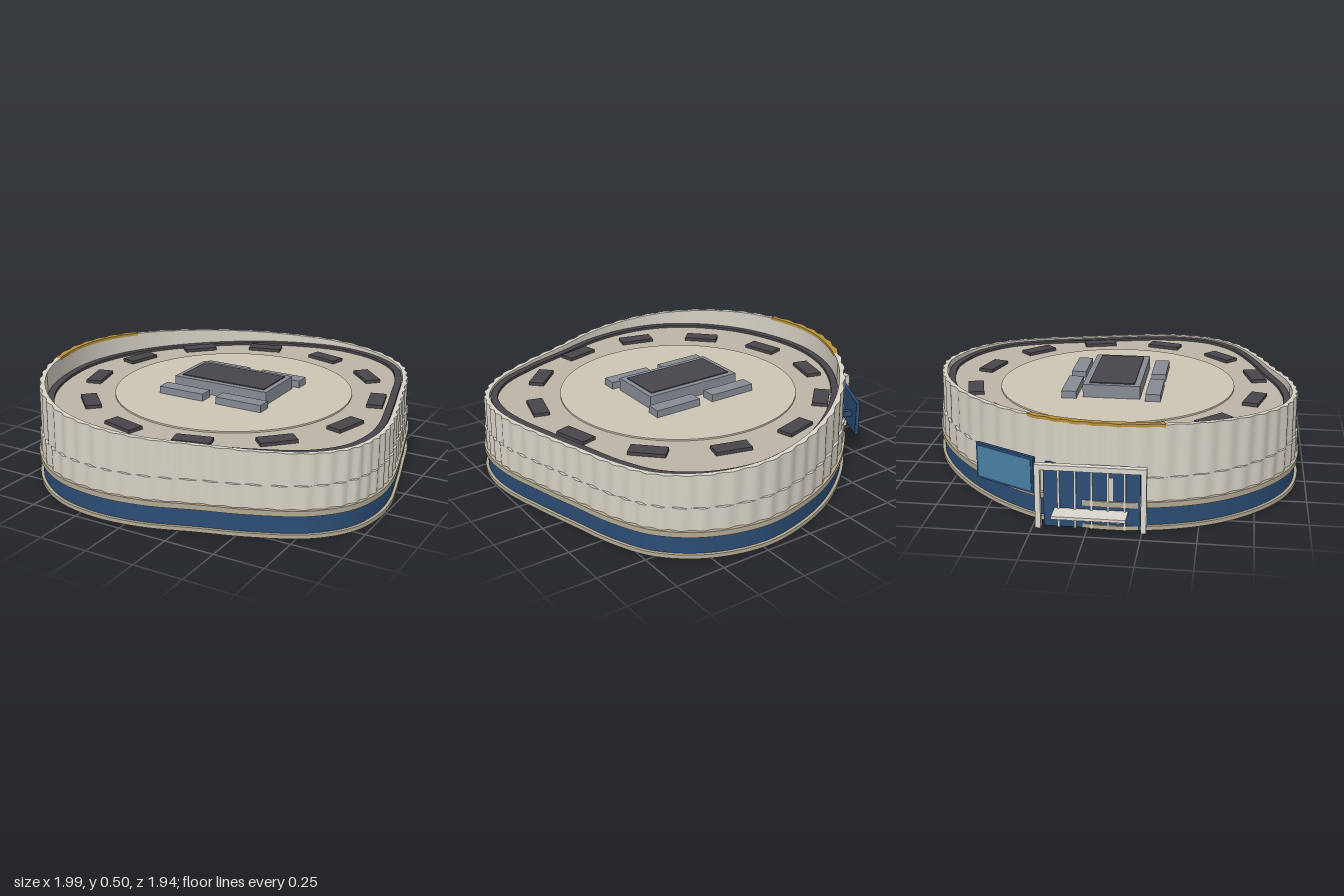
import * as THREE from 'three';
import { toCreasedNormals } from 'three/addons/utils/BufferGeometryUtils.js';

const mat = (color, side = THREE.FrontSide) => new THREE.MeshStandardMaterial({ color, side });
const M = {
  facade: mat(0xd6d1c5), stone: mat(0xb3aa94), blue: mat(0x2b4c74), roof: mat(0xbdb6a6),
  disc: mat(0xcdc4b4), dark: mat(0x47454a), grey: mat(0x868c94),
  gold: mat(0xb8923a, THREE.DoubleSide), screen: mat(0x4a7fa5), white: mat(0xdcd8ce),
};

// Plan outline (x, z) of the building, sampled as a smooth closed curve
const PLAN = [
  [0.24, -0.97], [0.51, -0.90], [0.70, -0.75], [0.80, -0.56], [0.87, -0.32], [0.93, -0.10],
  [0.985, 0.14], [0.99, 0.32], [0.94, 0.50], [0.80, 0.66], [0.56, 0.78], [0.32, 0.86],
  [0.08, 0.94], [-0.16, 0.965], [-0.40, 0.92], [-0.61, 0.79], [-0.78, 0.59], [-0.88, 0.35],
  [-0.915, 0.08], [-0.87, -0.16], [-0.745, -0.40], [-0.53, -0.64], [-0.265, -0.83], [-0.02, -0.93],
];
const N = 480;
const curve = new THREE.CatmullRomCurve3(PLAN.map(([x, z]) => new THREE.Vector3(x, 0, z)), true);
const path = Array.from({ length: N }, (_, i) => {
  const p = curve.getPoint(i / N), t = curve.getTangent(i / N);
  return { x: p.x, z: p.z, nx: t.z, nz: -t.x };
});
const inset = (i, d) => {
  const p = path[i % N];
  return [p.x - p.nx * d, p.z - p.nz * d];
};

// Height of the parapet: low on the +x side, rising towards the entrance
const rim = (i) => 0.4 + 0.1 * Math.max(0, (0.97 - path[i % N].x) / 1.88) ** 1.7;
const ripple = (i, phase = 0) => 0.005 * Math.sin((i / 8) * Math.PI * 2 + phase);

// Sweeps a closed cross-section of [inset, y] corners along the outline
function sweep(section, from = 0, to = N) {
  const pos = [], idx = [], k = section(0).length;
  for (let i = from; i <= to; i++) {
    for (const [d, y] of section(i % N)) {
      const [x, z] = inset(i, d);
      pos.push(x, y, z);
    }
  }
  for (let i = 0; i < to - from; i++) {
    for (let j = 0; j < k; j++) {
      const a = i * k + j, c = i * k + ((j + 1) % k), b = a + k, e = c + k;
      idx.push(a, c, b, b, c, e);
    }
  }
  const g = new THREE.BufferGeometry();
  g.setAttribute('position', new THREE.Float32BufferAttribute(pos, 3));
  g.setIndex(idx);
  return toCreasedNormals(g, 0.7);
}
const bandSection = (d0, d1, y0, y1) => () => [[d0, y0], [d0, y1], [d1, y1], [d1, y0]];

// Solid slab with the outline's shape
function slab(d, y0, y1) {
  const pts = path.map((_, i) => {
    const [x, z] = inset(i, d);
    return new THREE.Vector2(x, -z);
  });
  const g = new THREE.ExtrudeGeometry(new THREE.Shape(pts), { depth: y1 - y0, bevelEnabled: false });
  return toCreasedNormals(g.rotateX(-Math.PI / 2).translate(0, y0, 0), 0.7);
}

export function createModel() {
  const model = new THREE.Group();
  const add = (name, geometry, material, parent = model) => {
    const mesh = new THREE.Mesh(geometry, material);
    mesh.name = name;
    parent.add(mesh);
    return mesh;
  };
  // Box given by its min and max on each axis
  const box = (name, [x0, x1], [y0, y1], [z0, z1], material, parent) => {
    const m = add(name, new THREE.BoxGeometry(x1 - x0, y1 - y0, z1 - z0), material, parent);
    m.position.set((x0 + x1) / 2, (y0 + y1) / 2, (z0 + z1) / 2);
    return m;
  };
  const group = (name) => {
    const g = new THREE.Group();
    g.name = name;
    model.add(g);
    return g;
  };

  // Base, glazed ground floor and ledge
  add('plinth', slab(0, 0, 0.02), M.stone);
  add('groundFloorGlazing', sweep(bandSection(0.015, 0.05, 0.02, 0.11)), M.blue);
  add('ledge', sweep(bandSection(0, 0.05, 0.11, 0.137)), M.stone);

  // Two rippled facade tiers, the upper one rising to the sloping rim
  add('lowerFacade', sweep((i) => {
    const d = 0.014 + ripple(i);
    return [[d, 0.137], [d, 0.25], [0.045, 0.25], [0.045, 0.137]];
  }), M.facade);
  add('upperFacade', sweep((i) => {
    const d = 0.021 + ripple(i, 1.8), h = rim(i);
    return [[d, 0.25], [d + 0.003, h], [0.048, h], [0.048, 0.25]];
  }), M.facade);
  add('goldRimStrip', sweep((i) => {
    const d = 0.022 + ripple(i, 1.8), h = rim(i);
    return [[d, h - 0.01], [d, h + 0.004], [0.052, h + 0.004], [0.052, h - 0.01]];
  }, 340, 392), M.gold);

  // Roof deck, dark edge gutter and central disc
  const cx = 0.045, cz = 0.02;
  add('roofDeck', slab(0.045, 0.36, 0.38), M.roof);
  add('roofGutter', sweep(bandSection(0.053, 0.088, 0.375, 0.394)), M.dark);
  add('roofDisc', new THREE.CylinderGeometry(0.61, 0.61, 0.012, 96), M.disc).position.set(cx, 0.382, cz);

  // Ring of roof vents
  const vents = group('roofVents');
  for (let k = 0; k < 12; k++) {
    const a = ((15 + 30 * k) * Math.PI) / 180;
    const v = add('roofVent', new THREE.BoxGeometry(0.08, 0.02, 0.18), M.dark, vents);
    v.position.set(cx + 0.74 * Math.cos(a), 0.387, cz + 0.74 * Math.sin(a));
    v.rotation.y = -a;
  }

  // Central plant block with four side units
  const plant = group('roofPlant');
  box('plantBlock', [cx - 0.265, cx + 0.265], [0.38, 0.455], [cz - 0.145, cz + 0.145], M.grey, plant);
  box('plantTop', [cx - 0.238, cx + 0.238], [0.45, 0.46], [cz - 0.115, cz + 0.115], M.dark, plant);
  for (const sx of [-1, 1]) for (const sz of [-1, 1]) {
    const x = cx + sx * 0.165, z = cz + sz * 0.212;
    box('sideUnit', [x - 0.127, x + 0.127], [0.38, 0.425], [z - 0.038, z + 0.038], M.grey, plant);
  }

  // Entrance portal on the -x side: glass, frame, mullions and canopy
  const entrance = group('entrance');
  box('entranceGlass', [-0.905, -0.84], [0, 0.29], [-0.2, 0.24], M.blue, entrance);
  for (const z of [-0.235, 0.245]) box('portalPost', [-0.935, -0.905], [0, 0.31], [z, z + 0.025], M.white, entrance);
  box('portalBeam', [-0.935, -0.905], [0.285, 0.31], [-0.235, 0.27], M.white, entrance);
  for (let k = 0; k < 5; k++) {
    const z = -0.13 + k * 0.075;
    box('mullion', [-0.915, -0.9], [0, 0.285], [z - 0.005, z + 0.005], M.white, entrance);
  }
  box('canopy', [-1, -0.9], [0.078, 0.092], [-0.15, 0.185], M.white, entrance);
  for (let k = 0; k < 5; k++) {
    const z = -0.12 + k * 0.0675;
    box('canopyBracket', [-0.99, -0.91], [0.068, 0.078], [z - 0.006, z + 0.006], M.white, entrance);
  }

  // Framed display panel beside the entrance
  const display = group('displayPanel');
  display.position.set(-0.78, 0.225, -0.4);
  display.rotation.y = -0.48;
  box('displayFrame', [-0.009, 0.009], [-0.088, 0.088], [-0.17, 0.17], M.blue, display);
  box('displayFace', [-0.012, -0.008], [-0.076, 0.076], [-0.158, 0.158], M.screen, display);
  for (const z of [-0.09, 0.09]) box('displayArm', [0, 0.06], [-0.015, 0.015], [z - 0.01, z + 0.01], M.blue, display);

  return model;
}
